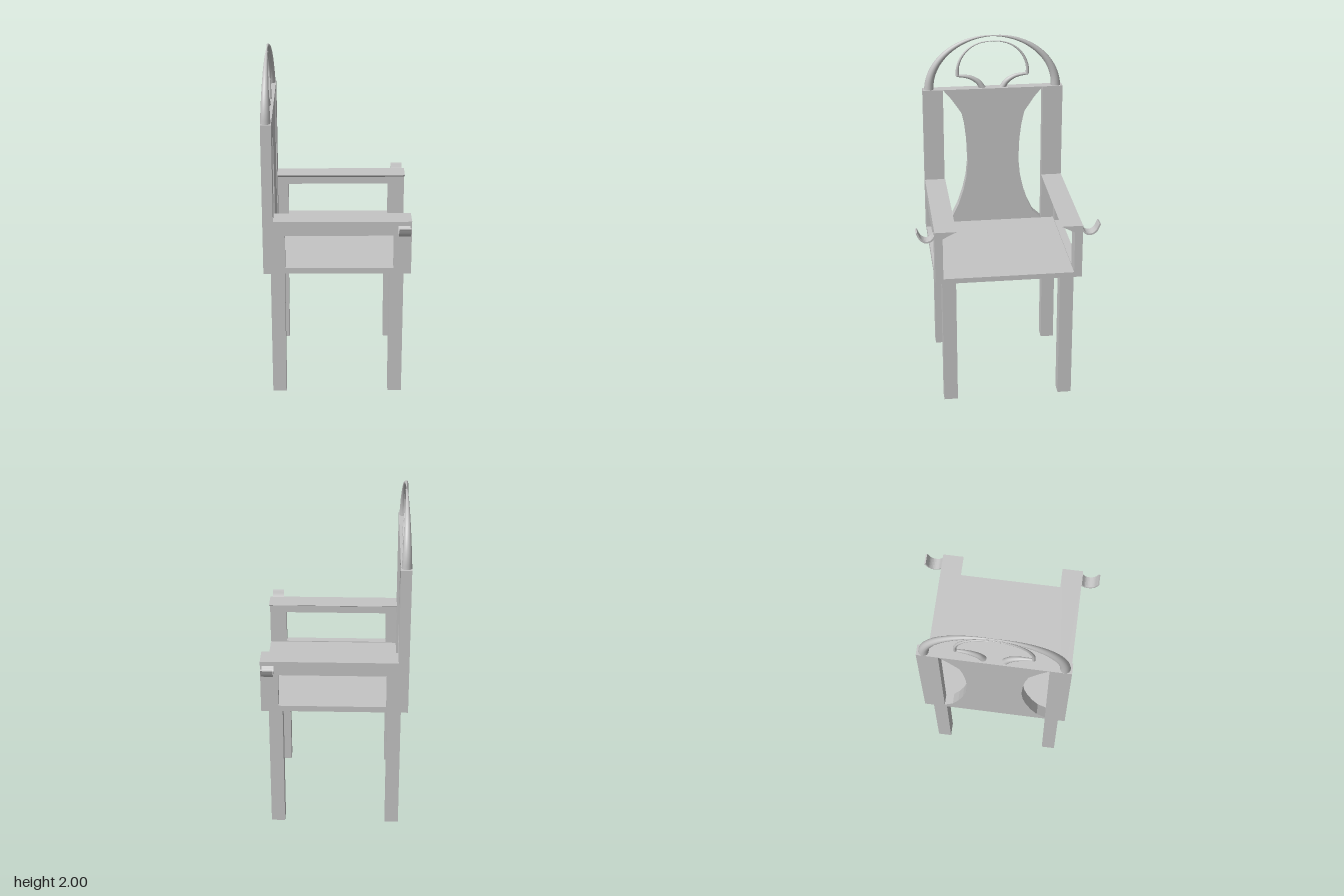
import * as THREE from 'three';

const grey = new THREE.MeshStandardMaterial({ color: 0xc4c4c4 });
grey.name = 'grey';

function add(parent, name, geometry) {
  const mesh = new THREE.Mesh(geometry, grey);
  mesh.name = name;
  parent.add(mesh);
  return mesh;
}

// Box given by its limits on each axis
function box(x0, x1, y0, y1, z0, z1) {
  return new THREE.BoxGeometry(x1 - x0, y1 - y0, Math.abs(z1 - z0))
    .translate((x0 + x1) / 2, (y0 + y1) / 2, (z0 + z1) / 2);
}

// Profile of [z, y] points pushed along x
function extrudeX(points, x0, x1) {
  const shape = new THREE.Shape(points.map(([z, y]) => new THREE.Vector2(-z, y)));
  return new THREE.ExtrudeGeometry(shape, { depth: x1 - x0, bevelEnabled: false })
    .rotateY(Math.PI / 2).translate(x0, 0, 0);
}

// Round rod through [z, y] points whose radius runs from r0 to r1
function taperedRod(points, r0, r1, x) {
  const rings = 24, sides = 14;
  const curve = new THREE.CatmullRomCurve3(points.map(([z, y]) => new THREE.Vector3(x, y, z)));
  const geometry = new THREE.TubeGeometry(curve, rings, 1, sides);
  const pos = geometry.attributes.position, v = new THREE.Vector3();
  for (let i = 0; i <= rings; i++) {
    const t = i / rings, centre = curve.getPointAt(t);
    const r = r0 + (r1 - r0) * t;
    for (let j = 0; j <= sides; j++) {
      const k = i * (sides + 1) + j;
      v.fromBufferAttribute(pos, k).sub(centre).multiplyScalar(r).add(centre);
      pos.setXYZ(k, v.x, v.y, v.z);
    }
  }
  geometry.computeBoundingSphere();
  return geometry;
}

export function createModel() {
  const chair = new THREE.Group();
  chair.name = 'armchair';

  add(chair, 'seat', box(-0.42, 0.42, 0.79, 0.82, -0.42, 0.42));

  // Four square legs
  for (const x of [-0.34, 0.34])
    for (const z of [-0.34, 0.34])
      add(chair, 'leg', box(x - 0.04, x + 0.04, 0, 0.79, z - 0.04, z + 0.04));

  // Waisted back panel
  const edge = [[0.3, 0.82], [0.25, 0.865], [0.215, 0.94], [0.185, 1.03], [0.165, 1.12],
    [0.155, 1.22], [0.16, 1.35], [0.172, 1.45], [0.19, 1.53], [0.25, 1.62], [0.3, 1.68]];
  const panel = [...edge, ...edge.map(([z, y]) => [-z, y]).reverse()];
  add(chair, 'backPanel', extrudeX(panel, -0.42, -0.36));

  for (const s of [1, -1]) {
    const side = new THREE.Group();
    side.name = s > 0 ? 'leftSide' : 'rightSide';
    chair.add(side);
    const flip = (points) => points.map(([z, y]) => [s * z, y]);

    add(side, 'backPost', box(-0.42, -0.36, 0.82, 1.68, s * 0.3, s * 0.42));

    // Side frame with a rectangular opening
    const frame = new THREE.Shape([[-0.36, 0.82], [0.42, 0.82], [0.42, 1.11], [-0.36, 1.11]]
      .map((p) => new THREE.Vector2(...p)));
    frame.holes.push(new THREE.Path([[-0.295, 0.825], [-0.295, 1.025], [0.32, 1.025], [0.32, 0.825]]
      .map((p) => new THREE.Vector2(...p))));
    add(side, 'sideFrame', new THREE.ExtrudeGeometry(frame, { depth: 0.045, bevelEnabled: false })
      .translate(0, 0, s > 0 ? 0.375 : -0.42));

    // Sloped inner lip widening the armrest
    add(side, 'armrestLip', extrudeX(flip([[0.375, 1.07], [0.375, 1.11], [0.297, 1.11]]), -0.36, 0.42));

    // Curved hook strip at the armrest end
    const path = new THREE.CatmullRomCurve3([[0.418, 1.082], [0.44, 1.056], [0.47, 1.05], [0.497, 1.066], [0.52, 1.11]]
      .map(([z, y]) => new THREE.Vector3(z, y, 0)));
    const upper = [], lower = [];
    for (let i = 0; i <= 14; i++) {
      const p = path.getPointAt(i / 14), t = path.getTangentAt(i / 14);
      upper.push([p.x - t.y * 0.005, p.y + t.x * 0.005]);
      lower.unshift([p.x + t.y * 0.005, p.y - t.x * 0.005]);
    }
    add(side, 'hook', extrudeX(flip([...upper, ...lower]), 0.343, 0.41));

    // Tall outer arch, thick at the post and thin at the crown
    const arch = [];
    for (let i = 0; i <= 10; i++) {
      const a = (i / 10) * Math.PI / 2;
      arch.push([0.382 * Math.cos(a), 1.675 + 0.321 * Math.sin(a)]);
    }
    add(side, 'outerArch', taperedRod(flip(arch), 0.029, 0.003, -0.392));

    // Inner ornament: upper arc and lower curl meeting at a point
    add(side, 'innerArch', taperedRod(
      flip([[0.21, 1.755], [0.208, 1.81], [0.18, 1.877], [0.13, 1.928], [0.07, 1.955], [0, 1.963]]),
      0.01, 0.002, -0.392));
    add(side, 'innerCurl', taperedRod(
      flip([[0.058, 1.672], [0.085, 1.713], [0.13, 1.742], [0.17, 1.752], [0.214, 1.756]]),
      0.019, 0.007, -0.392));
  }
  return chair;
}
